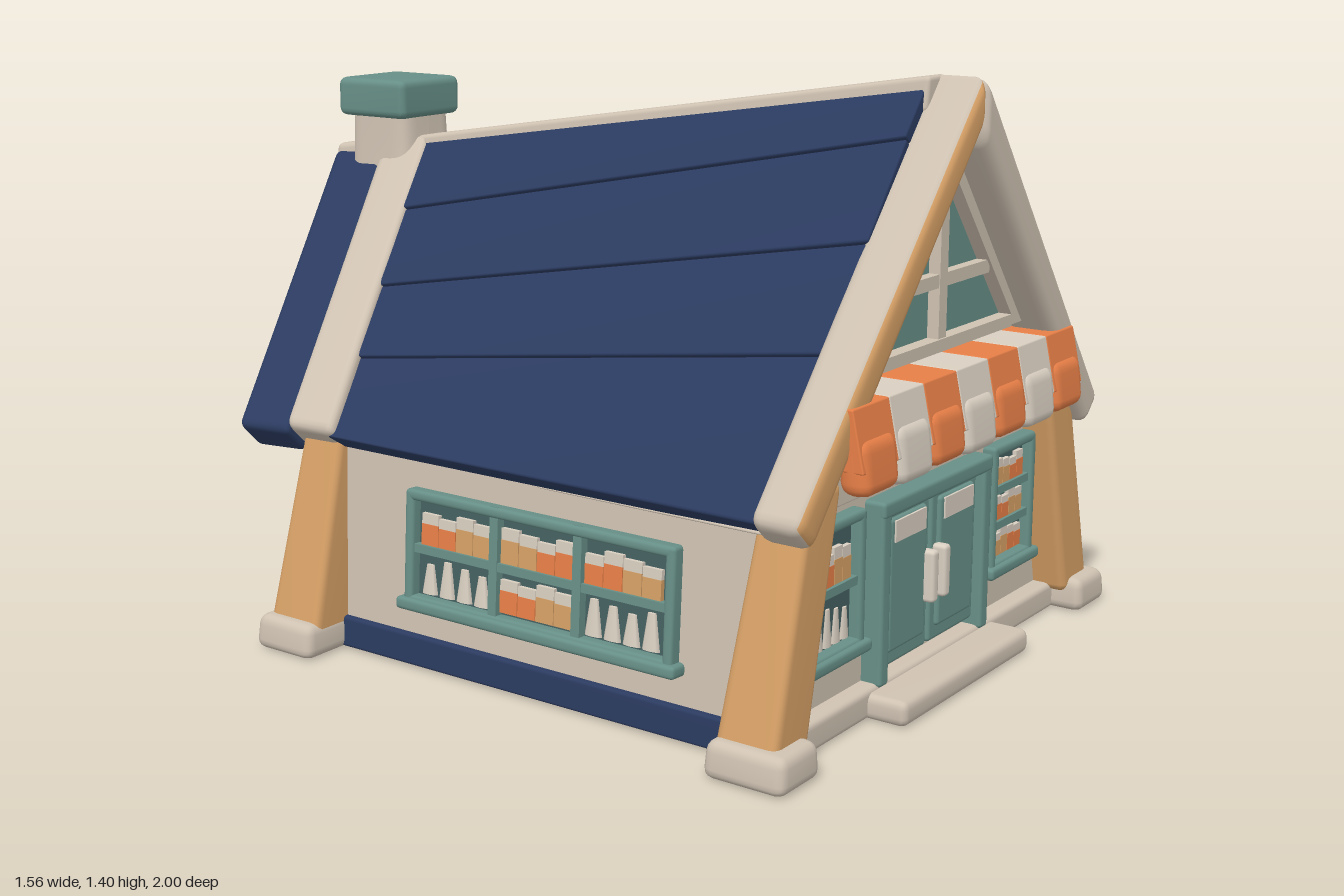
import * as THREE from 'three';
import { mergeVertices } from 'three/addons/utils/BufferGeometryUtils.js';
import { RoundedBoxGeometry } from 'three/addons/geometries/RoundedBoxGeometry.js';

const mat = (name, color) => Object.assign(new THREE.MeshStandardMaterial({ color }), { name });
const plaster = mat('plaster', 0xcfc2b2);
const navy = mat('navy roof', 0x2b3b60);
const teal = mat('teal paint', 0x678f87);
const wood = mat('warm wood', 0xd6a066);
const orange = mat('orange cloth', 0xe98048);
const cream = mat('cream', 0xd9cfc1);
const dark = mat('window shade', 0x456062);

function add(parent, name, geometry, material) {
  const mesh = new THREE.Mesh(geometry, material);
  mesh.name = name;
  parent.add(mesh);
  return mesh;
}

// Soft-edged block stretched between two four-cornered ends
function block(parent, name, material, endA, endB, r = 0.02, sx = 1) {
  const P = [...endA, ...endB].map(([x, y, z]) => new THREE.Vector3(x * sx, y, z));
  const axis = (pairs) => pairs.reduce((s, [a, b]) => s.add(P[b]).sub(P[a]), new THREE.Vector3()).divideScalar(4);
  const du = axis([[0, 1], [3, 2], [4, 5], [7, 6]]);
  const dv = axis([[0, 3], [1, 2], [4, 7], [5, 6]]);
  const dw = axis([[0, 4], [1, 5], [2, 6], [3, 7]]);
  const [w, h, d] = [du, dv, dw].map((v) => v.length());
  let g = new RoundedBoxGeometry(w, h, d, 2, Math.min(r, 0.45 * Math.min(w, h, d)));
  const p = g.attributes.position;
  const q = new THREE.Vector3();
  for (let i = 0; i < p.count; i++) {
    const u = p.getX(i) / w + 0.5, v = p.getY(i) / h + 0.5, t = p.getZ(i) / d + 0.5;
    const k = [(1 - u) * (1 - v), u * (1 - v), u * v, (1 - u) * v];
    q.set(0, 0, 0);
    for (let j = 0; j < 4; j++) q.addScaledVector(P[j], k[j] * (1 - t)).addScaledVector(P[j + 4], k[j] * t);
    p.setXYZ(i, q.x, q.y, q.z);
  }
  g.deleteAttribute('normal');
  g.deleteAttribute('uv');
  g = mergeVertices(g, 1e-5);
  if (du.cross(dv).dot(dw) < 0) {
    const ix = g.index.array;
    for (let i = 0; i < ix.length; i += 3) [ix[i], ix[i + 1]] = [ix[i + 1], ix[i]];
  }
  g.computeVertexNormals();
  return add(parent, name, g, material);
}

// Level rectangle used as a block end
const flat = (x0, x1, z0, z1, y) => [[x0, y, z0], [x1, y, z0], [x1, y, z1], [x0, y, z1]];
const box = (parent, name, m, x0, x1, y0, y1, z0, z1, r = 0.01) =>
  block(parent, name, m, flat(x0, x1, z0, z1, y0), flat(x0, x1, z0, z1, y1), r);

function plate(parent, name, m, x0, x1, y0, y1, z0, z1) {
  const g = new THREE.BoxGeometry(x1 - x0, y1 - y0, z1 - z0);
  g.translate((x0 + x1) / 2, (y0 + y1) / 2, (z0 + z1) / 2);
  return add(parent, name, g, m);
}

// Display window facing +z, with shelves of goods
function shopWindow(name, w, h, cols, rows) {
  const g = new THREE.Group();
  g.name = name;
  const x = w / 2, y = h / 2, f = 0.026;
  plate(g, 'windowBack', dark, -x + 0.01, x - 0.01, -y + 0.01, y - 0.01, -0.01, 0.006);
  for (const s of [-1, 1]) {
    box(g, 'frameSide', teal, s * (x - f / 2) - f / 2, s * (x - f / 2) + f / 2, -y, y, -0.01, 0.034);
    box(g, 'frameRail', teal, -x, x, s * (y - f / 2) - f / 2, s * (y - f / 2) + f / 2, -0.01, 0.034);
  }
  box(g, 'sill', teal, -x - 0.015, x + 0.015, -y - 0.01, -y + 0.02, -0.01, 0.046);
  const cw = (w - 2 * f) / cols, rh = (h - 2 * f) / rows;
  for (let c = 1; c < cols; c++) plate(g, 'mullion', teal, -x + f + c * cw - 0.012, -x + f + c * cw + 0.012, -y, y, 0, 0.028);
  for (let r = 1; r < rows; r++) plate(g, 'shelf', teal, -x + f, x - f, -y + f + r * rh - 0.01, -y + f + r * rh + 0.01, 0, 0.026);
  for (let c = 0; c < cols; c++) for (let r = 0; r < rows; r++) {
    const y0 = -y + f + r * rh + 0.008, n = 4, iw = (cw - 0.03) / n;
    for (let i = 0; i < n; i++) {
      const x0 = -x + f + c * cw + 0.015 + i * iw, ih = Math.min(rh, 0.115) * (0.62 + 0.06 * ((i * 2 + c + r) % 3));
      if (rows === 2 && r === 0 && c !== 1) {
        const bottle = add(g, 'bottle', new THREE.CylinderGeometry(iw * 0.22, iw * 0.46, ih, 8), cream);
        bottle.position.set(x0 + iw / 2, y0 + ih / 2, 0.013);
        bottle.scale.z = 0.4;
      } else {
        const m = (c + r + (i >> 1)) % 2 ? orange : wood;
        plate(g, 'box', m, x0, x0 + iw * 0.96, y0, y0 + ih * 0.68, 0.005, 0.018);
        plate(g, 'boxLid', cream, x0, x0 + iw * 0.96, y0 + ih * 0.68, y0 + ih, 0.005, 0.017);
      }
    }
  }
  return g;
}

// Tapered shaft: a cylinder whose rings become rounded rectangles [y, half width, back z, front z]
function chimneyGeometry(rings) {
  const g = new THREE.CylinderGeometry(1, 1, 1, 40, rings.length - 1);
  const p = g.attributes.position, soft = (c) => Math.sign(c) * Math.abs(c) ** 0.4;
  for (let i = 0; i < p.count; i++) {
    const [y, hw, zb, zf] = rings[Math.round((p.getY(i) + 0.5) * (rings.length - 1))];
    p.setXYZ(i, hw * soft(p.getX(i)), y, (zb + zf) / 2 + ((zf - zb) / 2) * soft(p.getZ(i)));
  }
  g.computeVertexNormals();
  return g;
}

const triangle = (w, y0, y1, T) => new T([new THREE.Vector2(-w, y0), new THREE.Vector2(w, y0), new THREE.Vector2(0, y1)]);

export function createModel() {
  const house = new THREE.Group();
  house.name = 'shopHouse';

  // Walls, and gables that overhang the rear wall
  block(house, 'walls', plaster, flat(-0.645, 0.645, -0.5, 0.84, 0), flat(-0.615, 0.615, -0.5, 0.84, 0.53), 0.01);
  block(house, 'gable', plaster,
    [[-0.59, 0.48, -0.61], [0.59, 0.48, -0.61], [0.02, 1.09, -0.84], [-0.02, 1.09, -0.84]],
    [[-0.645, 0.5, 0.841], [0.645, 0.5, 0.841], [0.02, 1.34, 0.841], [-0.02, 1.34, 0.841]], 0.005);
  plate(house, 'rearSoffit', navy, -0.59, 0.59, 0.472, 0.48, -0.61, -0.49);
  box(house, 'rearBlock', plaster, -0.25, 0.25, 0, 0.5, -0.63, -0.45);
  box(house, 'rearFooting', plaster, -0.6, 0.6, 0, 0.07, -0.515, -0.45);
  box(house, 'frontFooting', plaster, -0.64, 0.64, 0, 0.07, 0.8, 0.885, 0.015);
  box(house, 'doorStep', plaster, -0.305, 0.305, 0, 0.06, 0.82, 0.98, 0.02);

  for (const s of [-1, 1]) {
    const mir = (name, m, a, b, r) => block(house, name, m, a, b, r, s);
    mir('skirting', navy, flat(0.6, 0.66, -0.4, 0.8, 0.005), flat(0.6, 0.655, -0.4, 0.8, 0.08), 0.008);

    // Leaning posts on stone feet
    mir('frontPost', wood, flat(0.615, 0.755, 0.77, 0.925, 0.05), flat(0.49, 0.615, 0.8, 0.92, 0.6), 0.02);
    mir('backPost', wood, flat(0.615, 0.755, -0.53, -0.37, 0.05), flat(0.515, 0.635, -0.5, -0.38, 0.54), 0.02);
    mir('frontFoot', plaster, flat(0.625, 0.785, 0.76, 0.965, 0), flat(0.63, 0.775, 0.765, 0.96, 0.085), 0.025);
    mir('backFoot', plaster, flat(0.625, 0.785, -0.55, -0.365, 0), flat(0.63, 0.775, -0.545, -0.37, 0.085), 0.025);

    // Roof planks, fanning out towards the rear
    const roofAt = (t, front, lift) => {
      const [x, y, z] = front ? [0.665 * t, 1.44 - 0.91 * t, 0.84] : [0.66 * t, 1.19 - 0.665 * t, -0.7 + 0.25 * t];
      return [x + lift * 0.78, y + lift * 0.62, z];
    };
    const seams = { true: [0.065, 0.18, 0.41, 0.65, 1], false: [0.065, 0.3, 0.55, 0.77, 1] };
    for (let i = 0; i < 4; i++) {
      const end = (f) => {
        const a = seams[f][i], b = seams[f][i + 1];
        return [roofAt(a, f, -0.05), roofAt(b, f, -0.05), roofAt(b, f, 0.005), roofAt(a, f, -0.004)];
      };
      mir('roofPlank', navy, end(false), end(true), 0.006);
    }

    // Gable beams; the one with the wooden face laps over the other at the peak
    const [xt, yIn, yOut] = s < 0 ? [-0.03, 1.3, 1.42] : [0.03, 1.262, 1.415];
    const beam = (z, zLow) => [[xt, yIn, z], [0.65, 0.485, zLow], [0.72, 0.55, zLow], [xt, yOut, z]];
    const beamMat = s < 0 ? [plaster, plaster, plaster, plaster, wood, plaster] : plaster;
    mir('frontBeam', beamMat, beam(0.82, 0.825), beam(0.96, 0.95), 0.03);
    const rear = (x, zTop, zLow, up) =>
      [[x, 1.07 - x + up, zTop], [0.61, 0.46 + up, zLow], [0.68, 0.53 + up, zLow], [x, 1.195 - x + up, zTop]];
    mir('backBeam', plaster, rear(0.03, -0.77, -0.53, 0.01), rear(0.03, -0.62, -0.375, 0.015), 0.025);
    mir('backEave', navy, rear(0.06, -0.925, -0.69, -0.015), rear(0.06, -0.75, -0.52, -0.005), 0.02);

    // Side windows follow the lean of the wall
    const side = shopWindow('sideWindow', 0.77, 0.28, 3, 2);
    side.rotation.set(-0.057, (s * Math.PI) / 2, 0, 'YXZ');
    side.position.set(s * 0.626, 0.295, 0.22);
    house.add(side);

    const front = shopWindow('frontWindow', 0.225, 0.32, 1, s < 0 ? 2 : 3);
    front.position.set(s * 0.415, 0.33, 0.84);
    house.add(front);

    // Door leaf with raised border, sign and handle
    const x0 = s < 0 ? -0.225 : 0.005, x1 = x0 + 0.22;
    box(house, 'doorLeaf', teal, x0, x1, 0.085, 0.455, 0.83, 0.865);
    box(house, 'doorPanel', teal, x0 + 0.025, x1 - 0.025, 0.12, 0.435, 0.85, 0.875);
    plate(house, 'doorSign', cream, x0 + 0.04, x1 - 0.04, 0.38, 0.43, 0.872, 0.879);
    box(house, 'doorHandle', cream, s * 0.028 - 0.015, s * 0.028 + 0.015, 0.2, 0.325, 0.86, 0.9);
    box(house, 'doorJamb', teal, s * 0.24 - 0.02, s * 0.24 + 0.02, 0.06, 0.49, 0.82, 0.89);
  }
  box(house, 'doorLintel', teal, -0.26, 0.26, 0.45, 0.49, 0.82, 0.892);

  // Ridge cap running down to the rear
  const ridge = (w, y, z) => [[-w, y - 0.08, z], [w, y - 0.08, z], [w - 0.01, y, z], [0.01 - w, y, z]];
  block(house, 'ridgeCap', plaster, ridge(0.05, 1.16, -0.7), ridge(0.05, 1.405, 0.85), 0.012);
  block(house, 'rearRidgeCap', plaster, ridge(0.07, 1.13, -0.925), ridge(0.07, 1.16, -0.68), 0.015);

  // Gable window
  const frame = triangle(0.39, 0.79, 1.27, THREE.Shape);
  frame.holes.push(triangle(0.335, 0.815, 1.22, THREE.Path));
  const solid = (shape, depth) => new THREE.ExtrudeGeometry(shape, { depth, bevelEnabled: false });
  add(house, 'gableWindowFrame', solid(frame, 0.045), plaster).position.z = 0.84;
  add(house, 'gableWindowPane', solid(triangle(0.345, 0.81, 1.225, THREE.Shape), 0.009), teal).position.z = 0.842;
  plate(house, 'gableMullion', plaster, -0.018, 0.018, 0.81, 1.22, 0.845, 0.88);
  plate(house, 'gableCrossbar', plaster, -0.225, 0.225, 0.932, 0.963, 0.845, 0.878);

  // Striped awning, each stripe ending in a rounded lip
  for (let i = 0; i < 7; i++) {
    const x0 = -0.525 + i * 0.15, low = i % 2 ? 0.568 : 0.575, cloth = i % 2 ? cream : orange;
    const top = (x) => [[x, 0.63, 0.83], [x, 0.63, 0.987], [x, 0.765, 0.958], [x, 0.765, 0.83]];
    const lip = (x) => [[x, low, 0.92], [x, low, 1.0], [x, 0.7, 0.985], [x, 0.7, 0.92]];
    block(house, 'awningStripe', cloth, top(x0), top(x0 + 0.15), 0.004);
    block(house, 'awningLip', cloth, lip(x0), lip(x0 + 0.15), 0.03);
  }

  // Chimney with flared foot
  add(house, 'chimney', chimneyGeometry([
    [0, 0.225, -0.985, -0.5], [0.025, 0.24, -1, -0.5], [0.1, 0.235, -0.99, -0.5], [0.17, 0.21, -0.955, -0.5],
    [0.27, 0.19, -0.925, -0.5], [0.5, 0.165, -0.905, -0.5], [0.7, 0.14, -0.89, -0.55],
    [0.9, 0.115, -0.865, -0.6], [1.05, 0.1, -0.85, -0.64], [1.24, 0.095, -0.845, -0.65]]), plaster);
  box(house, 'chimneyCap', teal, -0.115, 0.115, 1.215, 1.315, -0.865, -0.635, 0.02);
  return house;
}
